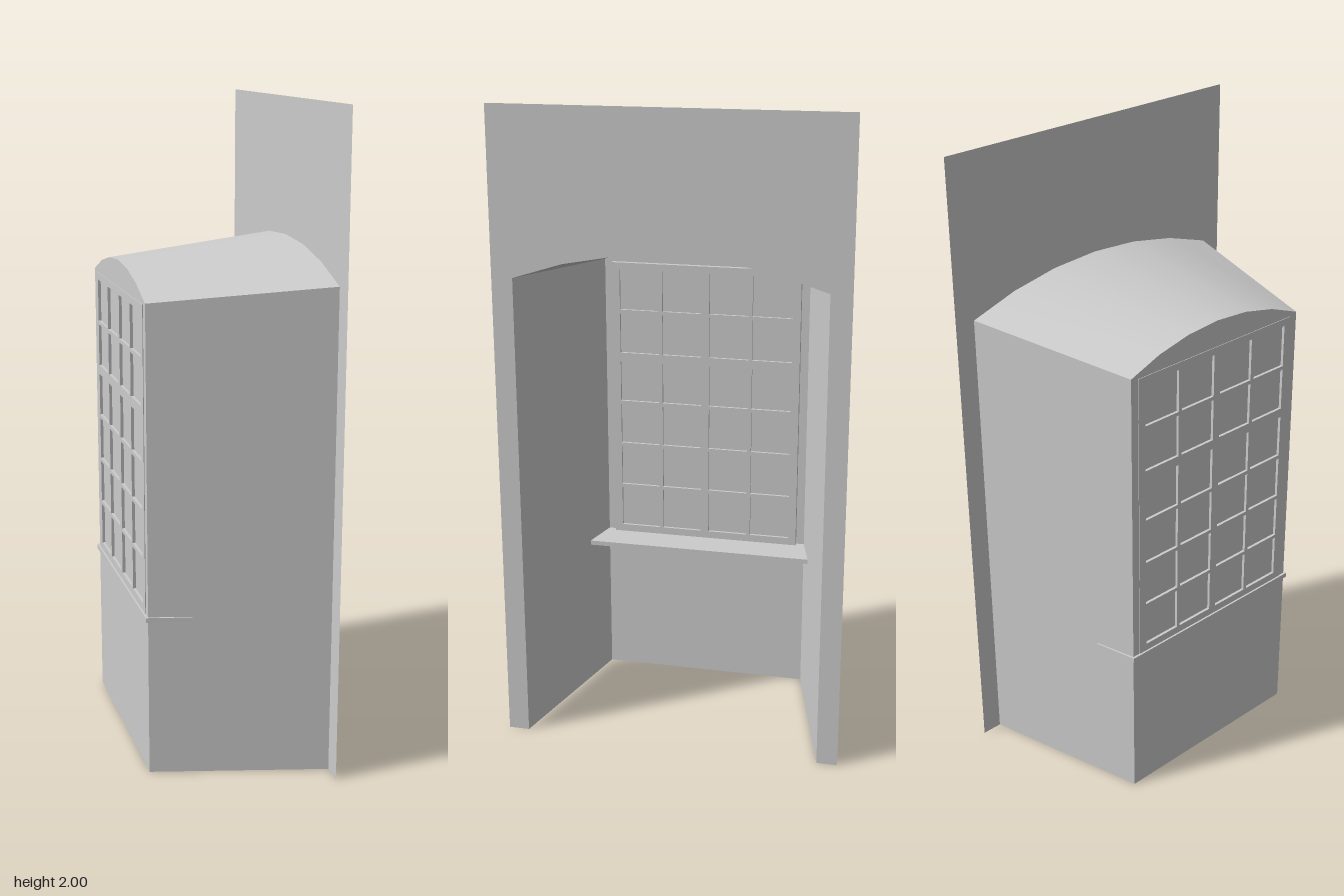
import * as THREE from 'three';

const FRONT_X = 0.27, BACK_X = -0.262;
const front = { half: 0.47, spring: 1.495, rise: 0.088 };
const back = { half: 0.338, spring: 1.45, rise: 0.075 };

const material = new THREE.MeshStandardMaterial({ color: 0xcccccc, side: THREE.DoubleSide });

function addMesh(group, name, geometry) {
  const mesh = new THREE.Mesh(geometry, material);
  mesh.name = name;
  group.add(mesh);
  return mesh;
}

// Segmental arch from +half to -half as [across, height] pairs
function archPoints({ half, spring, rise }, segments = 6) {
  const radius = (half * half + rise * rise) / (2 * rise);
  const angle = Math.asin(half / radius);
  return Array.from({ length: segments + 1 }, (_, i) => {
    const a = angle * (1 - (2 * i) / segments);
    return [radius * Math.sin(a), spring + rise - radius * (1 - Math.cos(a))];
  });
}

// Surface between two rows of [z, y] points, one at the front and one at the back
function loft(frontRow, backRow) {
  const n = frontRow.length, positions = [], index = [];
  for (const [z, y] of frontRow) positions.push(FRONT_X, y, z);
  for (const [z, y] of backRow) positions.push(BACK_X, y, z);
  for (let i = 0; i < n - 1; i++) index.push(i, i + 1, n + i, i + 1, n + i + 1, n + i);
  const geometry = new THREE.BufferGeometry();
  geometry.setAttribute('position', new THREE.Float32BufferAttribute(positions, 3));
  geometry.setIndex(index);
  geometry.computeVertexNormals();
  return geometry;
}

const shapeOf = (points) => new THREE.Shape(points.map(([a, b]) => new THREE.Vector2(a, b)));
const rect = (a0, b0, a1, b1) => shapeOf([[a0, b0], [a1, b0], [a1, b1], [a0, b1]]);

// Turn a drawing in x, y so it faces along the x axis
const faceX = (geometry, x) => geometry.rotateY(Math.PI / 2).translate(x, 0, 0);

// Split a span into equal panes separated by bars
function panes(start, end, count, bar) {
  const size = (end - start - bar * (count - 1)) / count;
  return Array.from({ length: count }, (_, i) => {
    const s = start + i * (size + bar);
    return [s, s + size];
  });
}

export function createModel() {
  const model = new THREE.Group();
  model.name = 'windowNiche';

  // Room wall with an arched opening down to the floor
  const frontArch = archPoints(front), backArch = archPoints(back);
  const wall = shapeOf([
    [0.535, 0], [0.535, 2], [-0.535, 2], [-0.535, 0],
    [-front.half, 0], ...frontArch.slice().reverse(), [front.half, 0],
  ]);
  addMesh(model, 'roomWall', faceX(new THREE.ShapeGeometry(wall), FRONT_X));

  // Splayed side walls and sloping vault
  for (const [name, s] of [['sideWallFront', 1], ['sideWallBack', -1]]) {
    addMesh(model, name, loft(
      [[s * front.half, 0], [s * front.half, front.spring]],
      [[s * back.half, 0], [s * back.half, back.spring]],
    ));
  }
  addMesh(model, 'vault', loft(frontArch, backArch));

  // End wall with the window opening
  const endWall = shapeOf([[back.half, 0], ...backArch, [-back.half, 0]]);
  endWall.holes.push(rect(-0.312, 0.505, 0.312, 1.443));
  addMesh(model, 'endWall', faceX(new THREE.ShapeGeometry(endWall), BACK_X));

  // Window frame: two casements below and two lights above, divided by glazing bars
  const bar = 0.012;
  const frame = rect(-0.312, 0.505, 0.312, 1.443);
  const rows = [...panes(0.53, 1.11, 4, bar), ...panes(1.14, 1.42, 2, bar)];
  const columns = [...panes(-0.286, -0.013, 2, bar), ...panes(0.013, 0.286, 2, bar)];
  for (const [y0, y1] of rows) {
    for (const [z0, z1] of columns) frame.holes.push(rect(z0, y0, z1, y1));
  }
  const frameGeometry = new THREE.ExtrudeGeometry(frame, { depth: 0.018, bevelEnabled: false });
  addMesh(model, 'windowFrame', faceX(frameGeometry, -0.264));

  // Glass in the middle of the frame depth
  const glass = faceX(new THREE.PlaneGeometry(0.6, 0.92), -0.255);
  addMesh(model, 'glass', glass).position.y = 0.974;

  // Tapered sill, a little wider than the niche
  const sill = shapeOf([[-0.27, -0.343], [-0.135, -0.374], [-0.135, 0.374], [-0.27, 0.343]]);
  const sillGeometry = new THREE.ExtrudeGeometry(sill, { depth: 0.015, bevelEnabled: false });
  sillGeometry.rotateX(-Math.PI / 2);
  addMesh(model, 'windowSill', sillGeometry).position.y = 0.491;

  return model;
}
